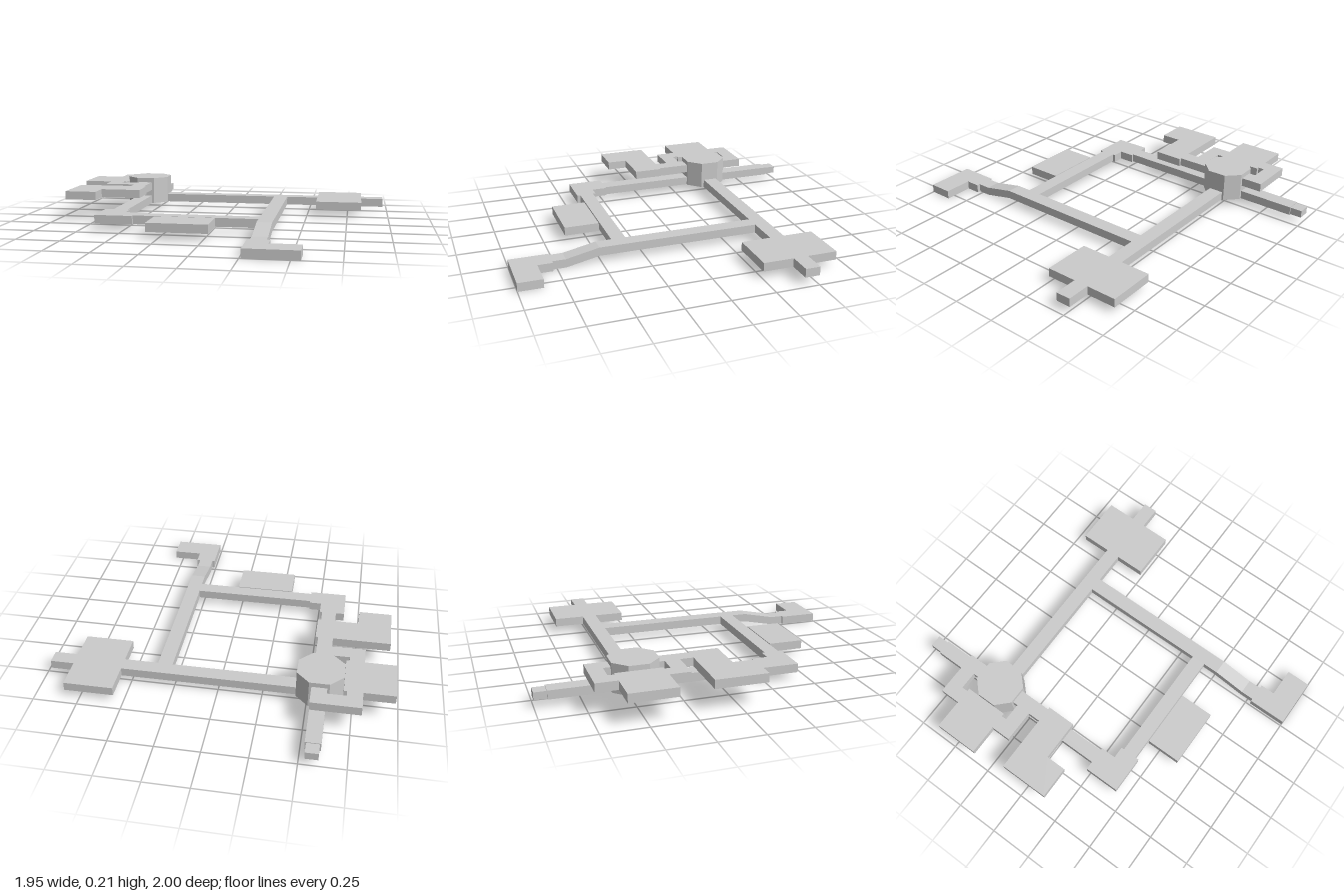
import * as THREE from 'three';

const material = new THREE.MeshStandardMaterial({ color: 0xcccccc, flatShading: true });

// Floor heights [bottom, top]
const LOWER = [0, 0.05];
const MAIN = [0.04, 0.09];
const UPPER = [0.127, 0.177];
const TOWER = [0.04, 0.205];

const outline = (points) => new THREE.Shape(points.map(([a, b]) => new THREE.Vector2(a, b)));

export function createModel() {
  const model = new THREE.Group();

  const add = (name, geometry) => {
    const mesh = new THREE.Mesh(geometry, material);
    mesh.name = name;
    model.add(mesh);
  };

  // Slab from a floor plan given as [x, z] corners
  const slab = (name, [bottom, top], plan) => {
    const geometry = new THREE.ExtrudeGeometry(outline(plan.map(([x, z]) => [x, -z])), {
      depth: top - bottom, bevelEnabled: false,
    });
    geometry.rotateX(-Math.PI / 2).translate(0, bottom, 0);
    add(name, geometry);
  };

  // Rectangular slab
  const block = (name, level, x0, x1, z0, z1) =>
    slab(name, level, [[x0, z0], [x1, z0], [x1, z1], [x0, z1]]);

  // Octagonal tower joining the main and upper floors
  const [cx, cz, r, h] = [-0.567, -0.47, 0.129, 0.056];
  slab('octagonTower', TOWER, [
    [-r, -h], [-h, -r], [h, -r], [r, -h], [r, h], [h, r], [-h, r], [-r, h],
  ].map(([x, z]) => [cx + x, cz + z]));

  // Main floor: corridors
  block('northCorridor', MAIN, -0.61, -0.525, -0.93, -0.598);
  block('northCorridorEnd', [0.043, 0.086], -0.603, -0.532, -1, -0.93);
  block('westCorridor', MAIN, -0.61, -0.525, -0.342, 0.23);
  block('southCorridor', MAIN, -0.44, 0.275, 0.337, 0.42);

  // Main floor: east corridor running through the east room
  slab('eastCorridorAndRoom', MAIN, [
    [-0.44, -0.515], [0.555, -0.515], [0.555, -0.69], [0.835, -0.69], [0.835, -0.515], [0.97, -0.515],
    [0.97, -0.43], [0.835, -0.43], [0.835, -0.255], [0.555, -0.255], [0.555, -0.43], [-0.44, -0.43],
  ]);

  // Main floor: south rooms
  block('southRoom', MAIN, -0.313, 0.032, 0.426, 0.63);
  slab('cornerRoom', MAIN, [
    [-0.66, 0.23], [-0.51, 0.23], [-0.51, 0.32], [-0.44, 0.32], [-0.44, 0.44], [-0.66, 0.44],
  ]);

  // Long corridor with a ramp down to the lower floor, as a side profile in [z, y]
  const ramp = new THREE.ExtrudeGeometry(outline([
    [-0.43, 0.04], [0.51, 0.04], [0.7, 0], [0.775, 0],
    [0.775, 0.05], [0.7, 0.05], [0.51, 0.09], [-0.43, 0.09],
  ]), { depth: 0.085, bevelEnabled: false });
  ramp.rotateY(-Math.PI / 2).translate(0.36, 0, 0);
  add('rampCorridor', ramp);

  // Lower floor
  slab('lowerRoom', LOWER, [
    [0.26, 0.775], [0.38, 0.775], [0.38, 0.86], [0.55, 0.86], [0.55, 1], [0.26, 1],
  ]);

  // Upper floor: passage looping round the west side of the tower
  slab('upperLoop', UPPER, [
    [-0.8, -0.725], [-0.525, -0.725], [-0.525, -0.598], [-0.61, -0.598], [-0.61, -0.64], [-0.715, -0.64],
    [-0.715, -0.31], [-0.61, -0.31], [-0.61, -0.342], [-0.525, -0.342], [-0.525, -0.15], [-0.61, -0.15],
    [-0.61, -0.225], [-0.8, -0.225],
  ]);

  // Upper floor: room beside the tower, fitted round the loop passage
  block('upperRoom', UPPER, -0.975, -0.8, -0.603, -0.342);
  block('upperRoomDoorway', UPPER, -0.715, -0.697, -0.603, -0.342);

  // Upper floor: south-west room
  slab('upperSouthRoom', UPPER, [
    [-0.94, -0.15], [-0.51, -0.15], [-0.51, 0.022], [-0.75, 0.022], [-0.75, 0.142], [-0.94, 0.142],
  ]);

  return model;
}
